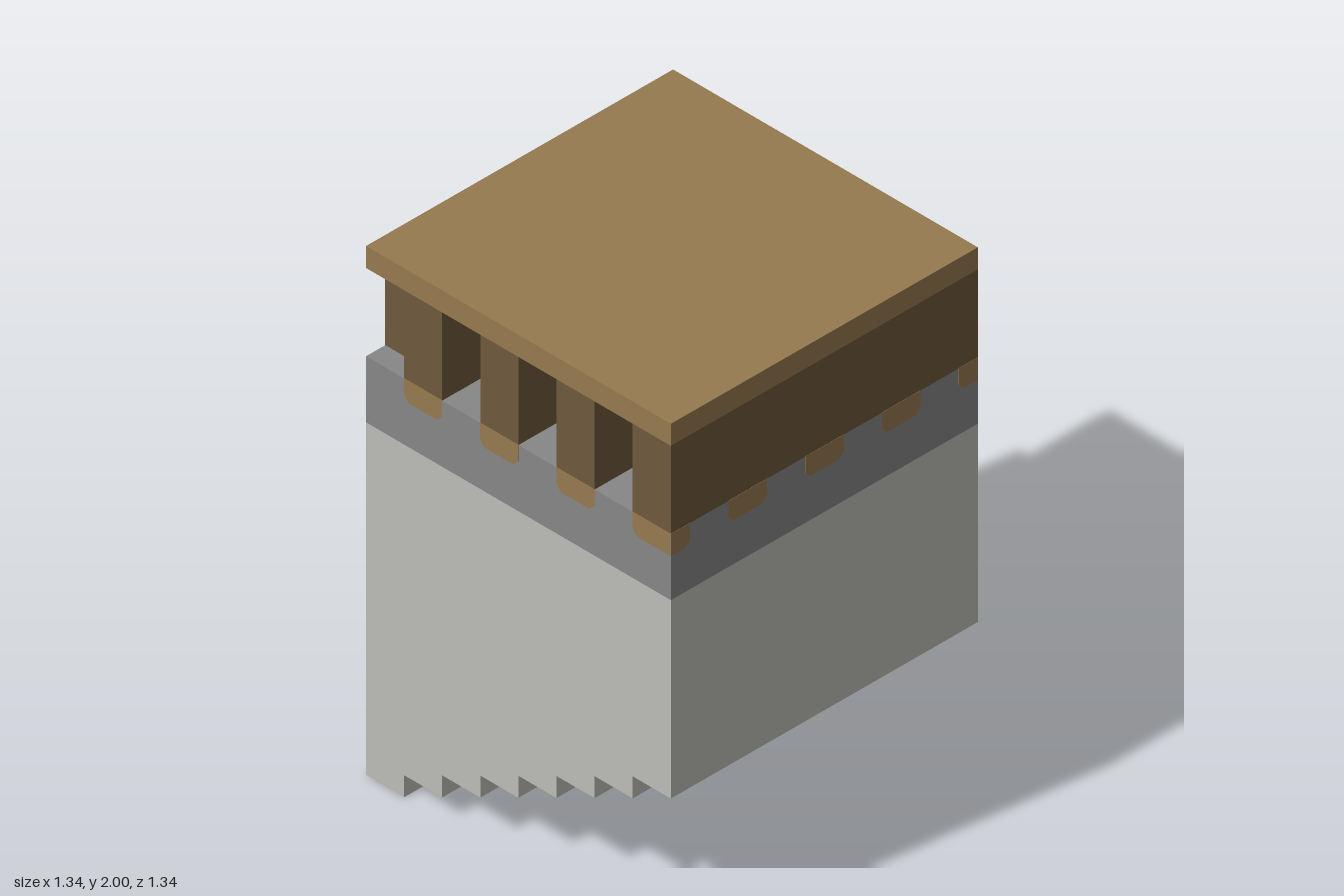
import * as THREE from 'three';

const U = 1 / 6;       // grid unit
const H = 4 * U;       // half width
const TOP = 9.5 * U;   // top of the stone band

export function createModel() {
  const model = new THREE.Group();
  const mat = (name, color) => {
    const m = new THREE.MeshStandardMaterial({ color });
    m.name = name;
    return m;
  };
  const paleStone = mat('paleStone', 0xbdbeb8);
  const darkStone = mat('darkStone', 0x888788);
  const lightWood = mat('lightWood', 0x967a50);
  const darkWood = mat('darkWood', 0x6e5a3c);

  const add = (name, geometry, material) => {
    const mesh = new THREE.Mesh(geometry, material);
    mesh.name = name;
    model.add(mesh);
    return mesh;
  };
  const box = (name, material, x0, x1, y0, y1, z0, z1) => {
    const g = new THREE.BoxGeometry(x1 - x0, y1 - y0, z1 - z0);
    g.translate((x0 + x1) / 2, (y0 + y1) / 2, (z0 + z1) / 2);
    return add(name, g, material);
  };

  // Stone body with a stepped underside rising to the front
  const profile = new THREE.Shape();
  profile.moveTo(-H, 8 * U);
  for (let i = 0; i < 8; i++) {
    const y = (7 - i) * U / 2;
    profile.lineTo(-H + i * U, y);
    profile.lineTo(-H + (i + 1) * U, y);
  }
  profile.lineTo(H, 8 * U);
  const body = new THREE.ExtrudeGeometry(profile, { depth: 2 * H, bevelEnabled: false });
  body.translate(0, 0, -H);
  body.rotateY(Math.PI / 2);
  add('steppedBody', body, paleStone);

  // Darker stone band
  box('stoneBand', darkStone, -H, H, 8 * U, TOP, -H, H);

  // Beam ends set into the band, with clipped lower corners
  const beam = (name, angle, u0, u1, clipLeft = true, clipRight = true) => {
    const c = 0.022, b = -U / 2;
    const a = clipLeft ? c : 0, d = clipRight ? c : 0;
    const s = new THREE.Shape();
    s.moveTo(u0, 0.001);
    s.lineTo(u0, b + a);
    s.lineTo(u0 + a, b);
    s.lineTo(u1 - d, b);
    s.lineTo(u1, b + d);
    s.lineTo(u1, 0.001);
    const g = new THREE.ExtrudeGeometry(s, { depth: U, bevelEnabled: false });
    g.translate(0, TOP, H - U + 0.001);
    g.rotateY(angle);
    add(name, g, lightWood);
  };
  const E = H - 0.0005;
  beam('frontBeamEnd', 0, -E, -3.5 * U, false, true);
  beam('frontBeamEnd', 0, 3.5 * U, E, true, false);
  for (const u of [-2, 0, 2]) beam('frontBeamEnd', 0, (u - 0.5) * U, (u + 0.5) * U);
  for (const u of [-3, -1, 1, 3]) beam('backBeamEnd', Math.PI, (u - 0.5) * U, (u + 0.5) * U);
  beam('leftBeamEnd', Math.PI / 2, -E, -3 * U, false, true);
  beam('rightBeamEnd', -Math.PI / 2, 3 * U, E, true, false);
  for (const z of [-3, -1, 1]) {
    beam('leftBeamEnd', Math.PI / 2, -(z + 1) * U, -z * U);
    beam('rightBeamEnd', -Math.PI / 2, z * U, (z + 1) * U);
  }

  // Timber walls and posts between band and roof
  const R = 11.5 * U;
  const wall = (name, x0, x1, z0, z1) =>
    box(name, darkWood, x0 * U, x1 * U, TOP, R, z0 * U, z1 * U);
  wall('frontWall', -4, 4, 3, 4);
  wall('middleBlock', -1.5, 3.5, -1, 2);
  wall('backWall', 0.5, 4, -3, -2);
  wall('crossWall', -1.5, -0.5, -4, -1);
  wall('backPost', -3.5, -2.5, -4, -3);
  for (const z of [-3, -1, 1]) wall('rightPost', -4, -3, z, z + 1);

  // Flat roof slab
  box('roofSlab', lightWood, -H, H, R, 12 * U, -H, H);

  return model;
}
